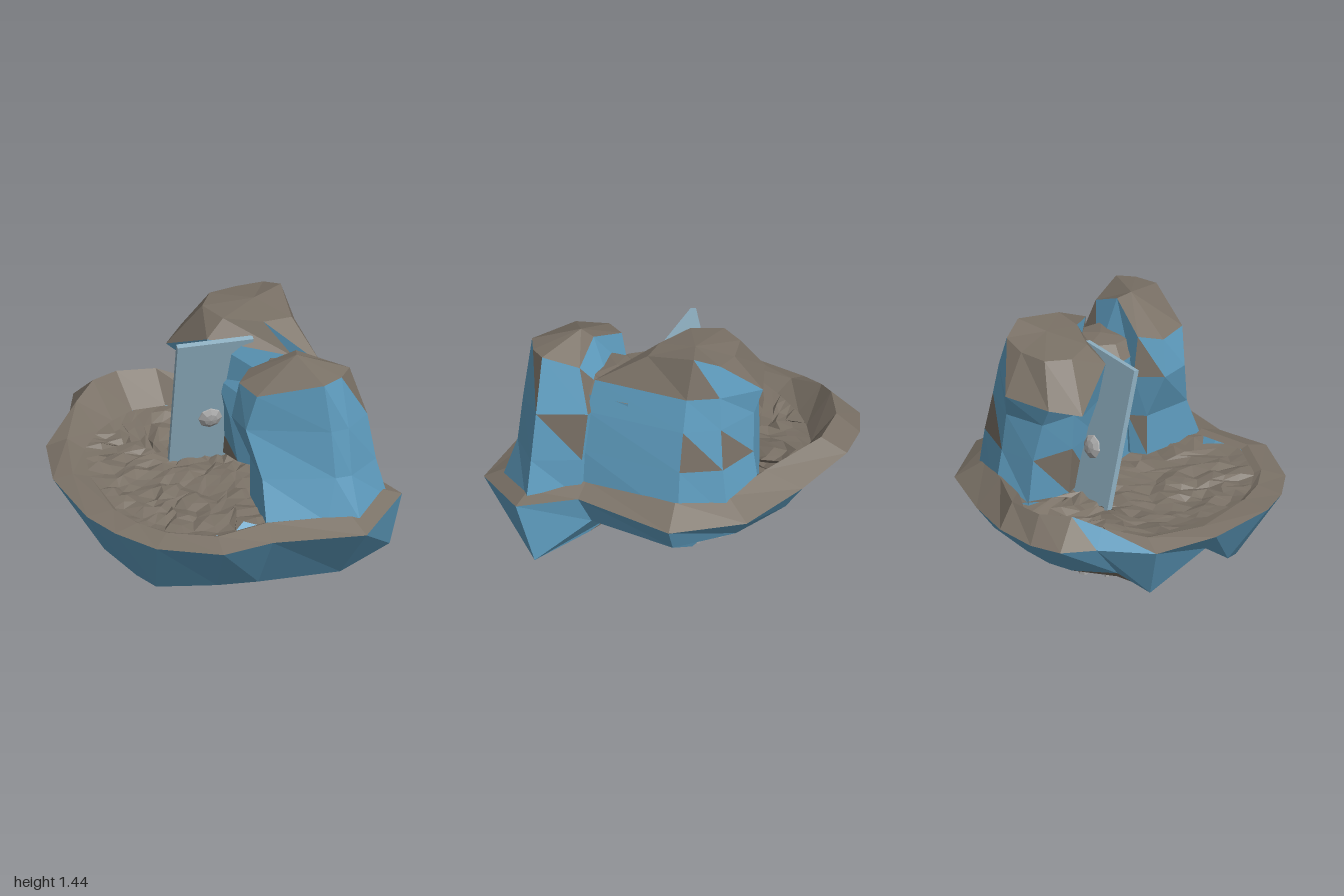
import * as THREE from 'three';

const BROWN = 0x7a7166, BLUE = 0x609fc2, SLAB = 0x8fb0c2, GREY = 0xaaaaaa;

function seeded(seed) {
  return () => {
    seed = (seed * 16807) % 2147483647;
    return seed / 2147483647;
  };
}

const material = (color) =>
  new THREE.MeshStandardMaterial({ color, flatShading: true, side: THREE.DoubleSide });

function addMesh(parent, name, geometry, color) {
  const mesh = new THREE.Mesh(geometry, material(color));
  mesh.name = name;
  parent.add(mesh);
  return mesh;
}

// Faceted rock lofted through rings of [x, z, y] points, lowest ring first.
// Flat facets are brown earth, steep ones blue stone; some facets swap to brown.
function rock(name, rings, { bottom, top, accent = 0, seed = 7, flat = 0.45 }) {
  const random = seeded(seed);
  const faces = { Earth: [], Stone: [] };
  const vec = ([x, z, y]) => new THREE.Vector3(x, y, z);
  const normal = new THREE.Vector3();
  const facet = (...points) => {
    const [a, b, c] = points.map(vec);
    new THREE.Triangle(a, b, c).getNormal(normal);
    const earth = normal.y > flat || normal.y < -0.76 || random() < accent;
    for (const p of [a, b, c]) faces[earth ? 'Earth' : 'Stone'].push(p.x, p.y, p.z);
  };
  const n = rings[0].length, last = rings.length - 1;
  for (let i = 0; i < n; i++) {
    const j = (i + 1) % n;
    for (let k = 0; k < last; k++) {
      const lo = rings[k], hi = rings[k + 1];
      facet(lo[i], hi[i], hi[j]);
      facet(lo[i], hi[j], lo[j]);
    }
    if (bottom) facet(bottom, rings[0][i], rings[0][j]);
    if (top) facet(top, rings[last][j], rings[last][i]);
  }
  const group = new THREE.Group();
  group.name = name;
  for (const [kind, data] of Object.entries(faces)) {
    if (!data.length) continue;
    const geometry = new THREE.BufferGeometry();
    geometry.setAttribute('position', new THREE.Float32BufferAttribute(data, 3));
    geometry.computeVertexNormals();
    addMesh(group, name + kind, geometry, kind === 'Earth' ? BROWN : BLUE);
  }
  return group;
}

const level = (y, points) => points.map(([x, z, own]) => [x, z, own ?? y]);

// Island rings, starting at the back and passing +x, front, -x
const underside = level(0.15, [
  [-0.1, -0.36], [0.1, -0.36], [0.35, -0.35], [0.5, -0.32, 0.14], [0.5, 0.2, 0.21], [0.62, 0.29, 0.15],
  [0.5, 0.3, 0.12], [0.1, 0.3, 0.12], [-0.15, 0.3, 0.12], [-0.35, 0.29, 0.13], [-0.45, 0.27, 0.15],
  [-0.55, 0.23, 0.17], [-0.62, 0, 0.17], [-0.68, -0.3, 0.14], [-0.5, -0.36], [-0.35, -0.36], [-0.25, -0.36]]);
// Stepped hollow just inside the underside ring
const hollow = underside.map(([x, z]) => {
  const inZ = z > 0.1 ? 0.21 : z * 0.8;
  return [x * 0.9, inZ, 0.18 + inZ * 0.13];
});
const keel = level(0.31, [
  [-0.15, -0.76], [0.15, -0.76, 0.33], [0.5, -0.6], [0.78, -0.32, 0.3], [0.74, 0.22, 0.32], [0.93, 0.5, 0.08],
  [0.6, 0.62, 0], [0.1, 0.64, 0.01], [-0.15, 0.64, 0.02], [-0.5, 0.57, 0.02], [-0.59, 0.46, 0.05],
  [-0.74, 0.28, 0.15], [-0.88, 0, 0.38], [-0.76, -0.32, 0.14], [-0.68, -0.5, 0.3], [-0.5, -0.7], [-0.35, -0.75]]);
const outerRim = level(0.5, [
  [-0.2, -1, 0.56], [0.17, -0.88], [0.59, -0.71, 0.46], [0.86, -0.33, 0.45], [0.8, 0.28, 0.49], [0.98, 0.6, 0.46],
  [0.68, 0.94, 0.4], [0.12, 0.91, 0.41], [-0.2, 1, 0.42], [-0.57, 0.85, 0.43], [-0.77, 0.66, 0.46],
  [-0.89, 0.46, 0.48], [-0.98, 0], [-0.92, -0.4], [-0.71, -0.68, 0.53], [-0.63, -0.89, 0.55], [-0.45, -0.97, 0.55]]);
const innerRim = level(0.47, [
  [-0.14, -0.86, 0.67], [0.22, -0.66, 0.6], [0.5, -0.55, 0.56], [0.7, -0.3, 0.56], [0.68, 0.28, 0.55], [0.85, 0.58, 0.5],
  [0.62, 0.8], [0.12, 0.77], [-0.2, 0.86], [-0.48, 0.74], [-0.62, 0.6, 0.48],
  [-0.72, 0.42, 0.49], [-0.86, 0, 0.52], [-0.8, -0.37, 0.55], [-0.68, -0.62, 0.65], [-0.55, -0.74, 0.71], [-0.38, -0.85, 0.69]]);
// The bowl of the floor meets the bank higher at the back than at the front
const floorEdge = innerRim.map(([x, z]) => {
  const s = z < -0.5 ? 0.84 : z > 0.3 ? 0.95 : 0.88;
  return [x * s, z * s, z > 0.3 ? 0.45 : 0.49];
});

// Point on the floor edge in a given direction from the middle
function edgePoint(dx, dz) {
  for (let i = 0; i < floorEdge.length; i++) {
    const p = floorEdge[i], q = floorEdge[(i + 1) % floorEdge.length];
    const ex = q[0] - p[0], ez = q[1] - p[1];
    const det = dx * ez - dz * ex;
    const t = (p[0] * ez - p[1] * ex) / det, u = (p[0] * dz - p[1] * dx) / det;
    if (t > 0 && u >= -1e-6 && u <= 1 + 1e-6) return { t, y: p[2] + (q[2] - p[2]) * u };
  }
  return { t: 0, y: 0.45 };
}

// Rough floor: a jittered grid pulled out to the floor edge
function floorGeometry() {
  const random = seeded(41);
  const jitter = (size) => (random() - 0.5) * size;
  const geometry = new THREE.PlaneGeometry(2, 2, 20, 20).rotateX(-Math.PI / 2);
  const position = geometry.attributes.position;
  for (let i = 0; i < position.count; i++) {
    const x = position.getX(i), z = position.getZ(i);
    const s = Math.max(Math.abs(x), Math.abs(z));
    const length = Math.hypot(x, z) || 1;
    const edge = edgePoint(x / length || 1, z / length);
    const r = (s * 1.01 * edge.t) / length;
    const y = 0.42 + (edge.y - 0.42) * s ** 3;
    const rough = s < 0.97 ? 0.045 : 0;
    position.setXYZ(i, x * r + jitter(rough), y + jitter(rough), z * r + jitter(rough));
  }
  geometry.computeVertexNormals();
  return geometry;
}

// Pillar rings, clockwise from above starting at -x
const rearPillar = [
  level(0.44, [[0.05, -0.28], [0.08, -0.56], [0.28, -0.66], [0.55, -0.57], [0.71, -0.32], [0.7, 0.33], [0.4, 0.2], [0.15, -0.05]]),
  level(0.75, [[0.02, -0.28], [0.05, -0.55], [0.27, -0.61], [0.53, -0.53], [0.66, -0.31], [0.67, 0.32], [0.38, 0.18], [0.1, -0.05]]),
  level(1.0, [[-0.02, -0.3], [0, -0.52], [0.24, -0.6], [0.49, -0.5], [0.61, -0.31], [0.63, 0.3], [0.4, 0.15], [0.03, -0.08]]),
  level(1.2, [[-0.2, -0.38, 1.1], [-0.07, -0.53, 1.13], [0.2, -0.64, 1.15], [0.46, -0.48], [0.56, -0.31], [0.58, 0.27], [0.44, 0.13], [-0.03, -0.07, 1.27]]),
  level(1.37, [[0, -0.3], [0.08, -0.44], [0.25, -0.48], [0.41, -0.46, 1.39], [0.48, -0.32, 1.44], [0.47, -0.02, 1.38], [0.3, -0.02], [0.08, -0.12]]),
];
const frontPillar = [
  level(0.44, [[0.12, 0.36], [0.2, 0.3], [0.5, 0.25], [0.72, 0.3], [0.9, 0.57], [0.67, 0.82], [0.48, 0.8], [0.12, 0.76]]),
  level(0.7, [[0.12, 0.36], [0.2, 0.28], [0.45, 0.25], [0.7, 0.3], [0.83, 0.57], [0.64, 0.74], [0.54, 0.75], [0.12, 0.66]]),
  level(1.0, [[0.0, 0.4], [0.12, 0.26], [0.42, 0.22], [0.66, 0.28], [0.78, 0.56], [0.63, 0.71], [0.52, 0.73], [0.04, 0.58]]),
  level(1.25, [[0.04, 0.42, 1.23], [0.13, 0.3], [0.4, 0.36, 1.37], [0.6, 0.36, 1.27], [0.67, 0.57, 1.33], [0.6, 0.66, 1.32], [0.48, 0.72, 1.31], [0.1, 0.61, 1.23]]),
];
// Low rock joining the two pillars
const saddle = [
  level(0.42, [[0.18, 0.15], [0.3, 0], [0.64, 0.02], [0.66, 0.36], [0.25, 0.4]]),
  level(1.1, [[0.16, 0.2], [0.3, 0.02], [0.6, 0.05], [0.6, 0.34], [0.2, 0.36]]),
  level(1.18, [[0.24, 0.22], [0.32, 0.08], [0.52, 0.1], [0.5, 0.32], [0.25, 0.34]]),
];

export function createModel() {
  const model = new THREE.Group();
  model.name = 'rockIsland';

  model.add(
    rock('island', [hollow, underside, keel, outerRim, innerRim], { bottom: [0, 0, 0.18] }),
    rock('innerBank', [innerRim, floorEdge], { flat: 0.25 }),
    rock('rearPillar', rearPillar, { top: [0.3, -0.25, 1.41], accent: 0.05, seed: 19, flat: 0.3 }),
    rock('frontPillar', frontPillar, { top: [0.38, 0.45, 1.39], accent: 0.14, seed: 5 }),
    rock('saddle', saddle, { top: [0.38, 0.22, 1.2] }),
  );
  addMesh(model, 'floor', floorGeometry(), BROWN);

  // Slab leaning forward between the pillars, with a round knob
  const door = new THREE.Group();
  door.name = 'door';
  door.position.set(0, 0.85, -0.1);
  door.rotation.x = 0.23;
  addMesh(door, 'slab', new THREE.BoxGeometry(0.46, 0.9, 0.035), SLAB);
  const knob = addMesh(door, 'knob', new THREE.SphereGeometry(0.08, 8, 6), GREY);
  knob.rotation.x = Math.PI / 2;
  knob.scale.y = 0.6;
  knob.position.y = -0.13;
  model.add(door);

  // Ring of pebbles hovering beneath the island
  const pebbles = new THREE.Group();
  pebbles.name = 'pebbles';
  for (let i = 0; i < 12; i++) {
    const angle = (i / 12) * Math.PI * 2;
    const pebble = addMesh(pebbles, 'pebble', new THREE.SphereGeometry(i % 2 ? 0.032 : 0.02, 6, 3), GREY);
    pebble.scale.set(1, 0.6, 0.8);
    pebble.rotation.y = angle;
    pebble.position.set(Math.sin(angle) * 0.32, 0.022, -0.14 + Math.cos(angle) * 0.23);
  }
  model.add(pebbles);
  return model;
}
